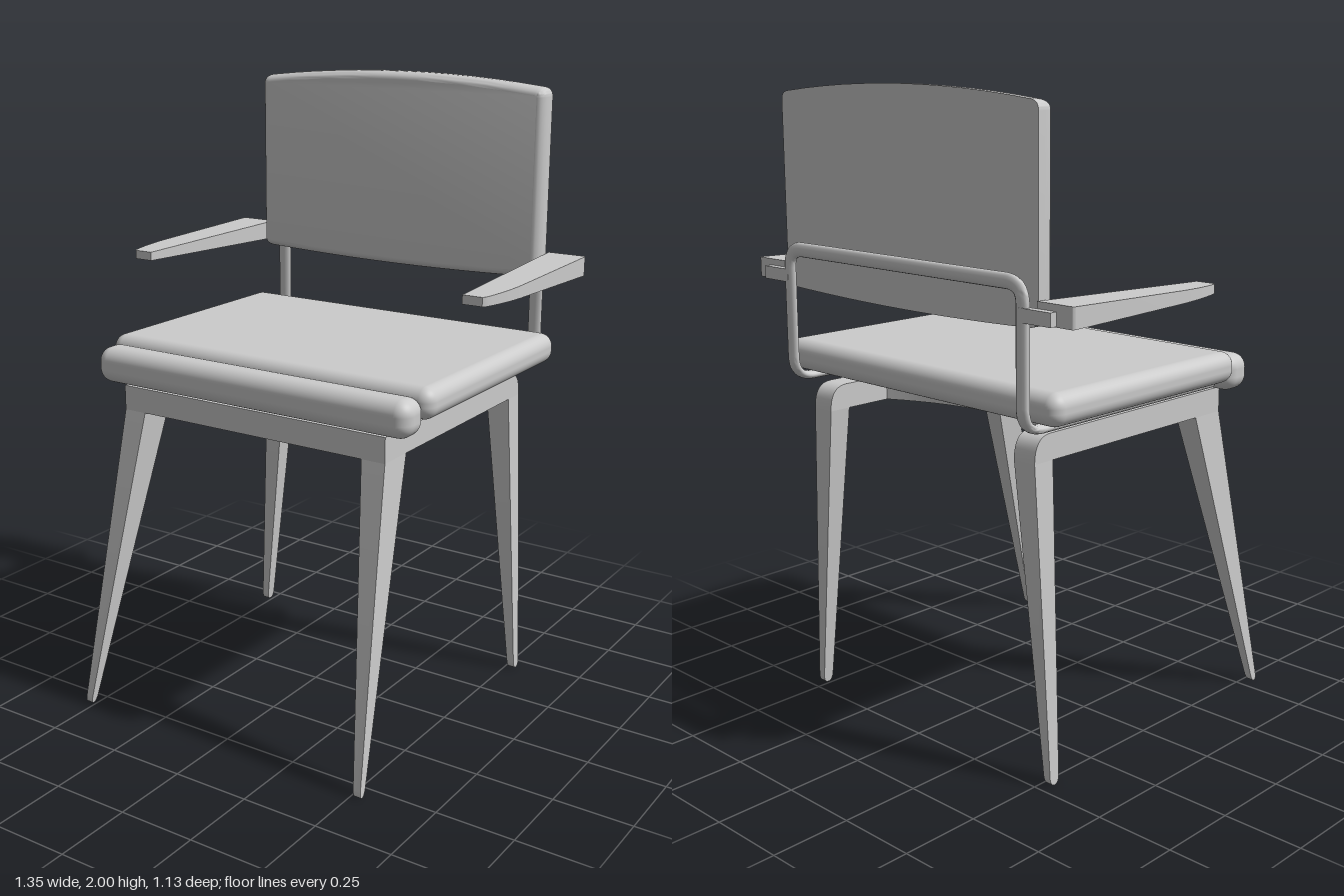
import * as THREE from 'three';
import { toCreasedNormals } from 'three/addons/utils/BufferGeometryUtils.js';
import { RoundedBoxGeometry } from 'three/addons/geometries/RoundedBoxGeometry.js';

const lerp = THREE.MathUtils.lerp;
const V = (x, y, z) => new THREE.Vector3(x, y, z);

// Moves every vertex of a geometry by a rule, then rebuilds its normals
function reshape(geo, rule) {
  const p = geo.attributes.position, v = new THREE.Vector3();
  for (let i = 0; i < p.count; i++) {
    rule(v.fromBufferAttribute(p, i));
    p.setXYZ(i, v.x, v.y, v.z);
  }
  return toCreasedNormals(geo, 0.6);
}

// Side profile (z, y) given a thickness in x; it splays and thins below the rail
function sideProfile(shape, s) {
  const geo = new THREE.ExtrudeGeometry(shape, { depth: 1, bevelEnabled: false, curveSegments: 8 });
  geo.translate(0, 0, -0.5).rotateY(-Math.PI / 2);
  return reshape(geo, v => {
    const t = Math.min(v.y / 0.97, 1);
    v.x = s * lerp(0.522, 0.445, t) + v.x * lerp(0.024, 0.08, t);
  });
}

// Tapered leg between a top span and a foot span in z, with a rounded foot
function legShape(topBack, topFront, footBack, footFront) {
  const r = 0.03, mid = (footBack + footFront) / 2;
  const s = new THREE.Shape();
  s.moveTo(topBack, 0.97);
  s.lineTo(lerp(footBack, topBack, r), r);
  s.quadraticCurveTo(footBack, 0, mid, 0);
  s.quadraticCurveTo(footFront, 0, lerp(footFront, topFront, r), r);
  s.lineTo(topFront, 0.97);
  s.closePath();
  return s;
}

// Side rail that rounds over into the rear leg
function railShape() {
  const s = new THREE.Shape();
  s.moveTo(0.37, 0.97);
  s.lineTo(0.37, 1.05);
  s.lineTo(-0.42, 1.05);
  s.quadraticCurveTo(-0.485, 1.05, -0.485, 0.97);
  s.closePath();
  return s;
}

// Flat oval bar swept along a path
function flatBar(points, wide, thin) {
  const sides = 14, pos = [], index = [], X = V(1, 0, 0);
  const last = points.length - 1;
  const ring = (i, k) => {
    const T = points[Math.min(i + 1, last)].clone().sub(points[Math.max(i - 1, 0)]).normalize();
    const n = points[i].z < -0.549 ? V(0, 0, 1) : X.clone().cross(T).normalize();
    if (n.y + n.z < 0) n.negate();
    const b = T.clone().cross(n).normalize();
    for (let j = 0; j < sides; j++) {
      const a = j / sides * Math.PI * 2;
      const p = points[i].clone().addScaledVector(b, Math.cos(a) * wide * k).addScaledVector(n, -Math.sin(a) * thin * k);
      pos.push(p.x, p.y, p.z);
    }
  };
  ring(0, 0);
  points.forEach((_, i) => ring(i, 1));
  ring(last, 0);
  for (let i = 0; i < last + 2; i++) for (let j = 0; j < sides; j++) {
    const a = i * sides + j, b = i * sides + (j + 1) % sides;
    index.push(a, b, a + sides, b, b + sides, a + sides);
  }
  const geo = new THREE.BufferGeometry();
  geo.setAttribute('position', new THREE.Float32BufferAttribute(pos, 3));
  geo.setIndex(index);
  return toCreasedNormals(geo, 0.9);
}

// Path of the metal frame: under the seat, up the back, across and down again
function framePath() {
  const x = 0.502, path = new THREE.CurvePath();
  const line = (a, b) => path.add(new THREE.LineCurve3(a, b));
  const bend = (a, b, c) => path.add(new THREE.QuadraticBezierCurve3(a, b, c));
  const corners = s => [V(s * x, 1.077, 0.29), V(s * x, 1.077, -0.48), V(s * x, 1.077, -0.55),
    V(s * x, 1.147, -0.55), V(s * x, 1.43, -0.55), V(s * x, 1.49, -0.55), V(s * (x - 0.06), 1.49, -0.55)];
  const a = corners(1), b = corners(-1);
  line(a[0], a[1]); bend(a[1], a[2], a[3]); line(a[3], a[4]); bend(a[4], a[5], a[6]);
  line(a[6], b[6]);
  bend(b[6], b[5], b[4]); line(b[4], b[3]); bend(b[3], b[2], b[1]); line(b[1], b[0]);
  return path.getPoints(10);
}

// Padded backrest with bowed top and bottom, rounded in front and flat behind
function backrestGeometry() {
  const s = new THREE.Shape(), w = 0.54, r = 0.03;
  s.moveTo(-w + r, 1.367);
  s.quadraticCurveTo(0, 1.343, w - r, 1.367);
  s.quadraticCurveTo(w, 1.37, w, 1.367 + r);
  s.lineTo(w, 1.97 - r);
  s.quadraticCurveTo(w, 1.967, w - r, 1.97);
  s.quadraticCurveTo(0, 2.03, -w + r, 1.97);
  s.quadraticCurveTo(-w, 1.967, -w, 1.97 - r);
  s.lineTo(-w, 1.367 + r);
  s.quadraticCurveTo(-w, 1.37, -w + r, 1.367);
  const geo = new THREE.ExtrudeGeometry(s, {
    depth: 0.025, bevelThickness: 0.04, bevelSize: 0.025, bevelOffset: -0.025, bevelSegments: 6, curveSegments: 12,
  });
  return reshape(geo, v => { v.z = Math.max(v.z, 0) - 0.53; });
}

// Armrest: plan outline, thinner toward the front tip
function armrestGeometry(s) {
  const p = new THREE.Shape();
  p.moveTo(s * 0.545, 0.54);
  p.lineTo(s * 0.665, 0.54);
  p.quadraticCurveTo(s * 0.675, 0.54, s * 0.675, 0.53);
  p.lineTo(s * 0.675, 0.08);
  p.quadraticCurveTo(s * 0.673, -0.02, s * 0.652, -0.1);
  p.lineTo(s * 0.645, -0.11);
  p.lineTo(s * 0.58, -0.11);
  p.closePath();
  const geo = new THREE.ExtrudeGeometry(p, { depth: 1, bevelEnabled: false, curveSegments: 8 });
  geo.translate(0, 0, -0.5).rotateX(-Math.PI / 2);
  return reshape(geo, v => { v.y = 1.414 + v.y * lerp(0.062, 0.028, (v.z + 0.54) / 0.65); });
}

// Board between the rails with a concave rear edge
function seatBoardGeometry() {
  const s = new THREE.Shape();
  s.moveTo(-0.405, -0.37);
  s.lineTo(0.405, -0.37);
  s.lineTo(0.405, 0.25);
  s.quadraticCurveTo(0, 0.03, -0.405, 0.25);
  s.closePath();
  const geo = new THREE.ExtrudeGeometry(s, { depth: 0.08, bevelEnabled: false, curveSegments: 16 });
  geo.rotateX(-Math.PI / 2).translate(0, 0.97, 0);
  return toCreasedNormals(geo, 0.6);
}

export function createModel() {
  const model = new THREE.Group();
  model.name = 'armchair';
  const material = new THREE.MeshStandardMaterial({ color: 0xcccccc });
  const add = (name, geo, x = 0, y = 0, z = 0) => {
    const mesh = new THREE.Mesh(geo, material);
    mesh.name = name;
    mesh.position.set(x, y, z);
    model.add(mesh);
  };

  // Upholstery
  add('seatCushion', new RoundedBoxGeometry(1.19, 0.098, 0.83, 6, 0.042), 0, 1.14, -0.105);
  add('frontRoll', new RoundedBoxGeometry(1.15, 0.115, 0.115, 6, 0.045), 0, 1.112, 0.35);
  add('backrest', backrestGeometry());

  // Frame
  add('seatBoard', seatBoardGeometry());
  add('metalFrame', flatBar(framePath(), 0.023, 0.0135));

  for (const [side, s] of [['left', 1], ['right', -1]]) {
    add(side + 'Rail', sideProfile(railShape(), s));
    add(side + 'FrontLeg', sideProfile(legShape(0.25, 0.37, 0.542, 0.567), s));
    add(side + 'BackLeg', sideProfile(legShape(-0.485, -0.41, -0.468, -0.432), s));
    add(side + 'Armrest', armrestGeometry(s));
    add(side + 'ArmBracket', new THREE.BoxGeometry(0.115, 0.04, 0.024), s * 0.5575, 1.405, -0.552);
  }
  return model;
}
